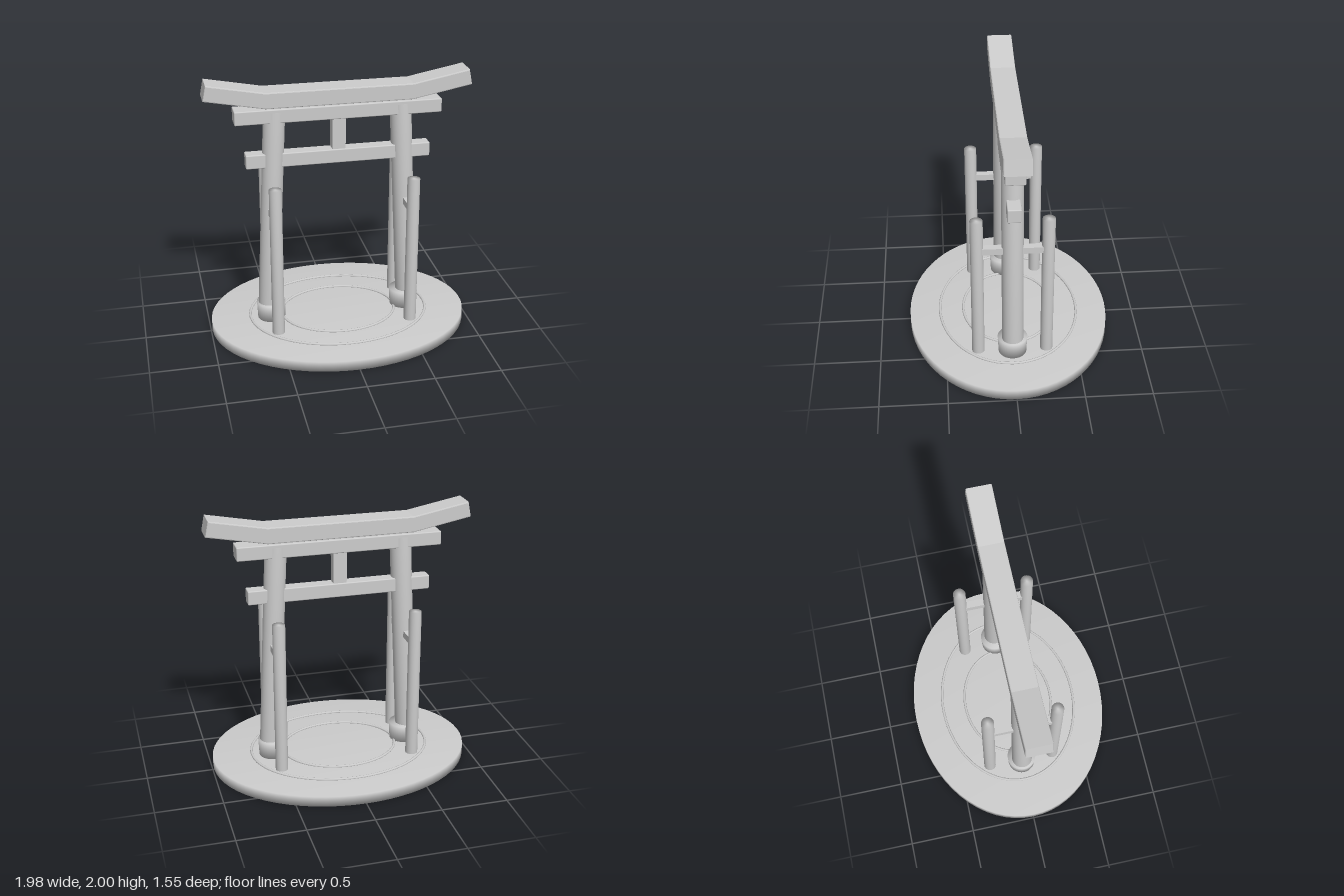
import * as THREE from 'three';
import { RoundedBoxGeometry } from 'three/addons/geometries/RoundedBoxGeometry.js';

const stone = new THREE.MeshStandardMaterial({ color: 0xcccccc });
stone.name = 'pale grey';

export function createModel() {
  const group = new THREE.Group();
  group.name = 'shrineGate';

  const add = (name, geometry, x = 0, y = 0, z = 0) => {
    const mesh = new THREE.Mesh(geometry, stone);
    mesh.name = name;
    mesh.position.set(x, y, z);
    group.add(mesh);
    return mesh;
  };
  // Solid of revolution with softly shaded rims
  const turned = (rBottom, rTop, height, sides) => new THREE.LatheGeometry([
    new THREE.Vector2(0, 0), new THREE.Vector2(rBottom, 0),
    new THREE.Vector2(rTop, height), new THREE.Vector2(0, height),
  ], sides);
  // Beam with slightly eased edges
  const beam = (w, h, d) => new RoundedBoxGeometry(w, h, d, 2, 0.008);

  // Oval base with two raised oval rings
  add('base', turned(1, 1, 0.08, 64)).scale.set(0.99, 1, 0.775);
  for (const [name, rx, rz] of [['outerRing', 0.69, 0.54], ['innerRing', 0.442, 0.355]]) {
    const points = Array.from({ length: 32 }, (_, i) => {
      const a = (i / 32) * Math.PI * 2;
      return new THREE.Vector3(Math.cos(a) * rx, 0, Math.sin(a) * rz);
    });
    const path = new THREE.CatmullRomCurve3(points, true);
    add(name, new THREE.TubeGeometry(path, 64, 0.01, 8, true), 0, 0.084, 0);
  }

  for (const [side, s] of [['left', 1], ['right', -1]]) {
    // Leaning main pillar in its round foot
    const foot = new THREE.Vector3(s * 0.551, 0.08, 0);
    const lean = new THREE.Vector3(s * 0.468, 1.76, 0).sub(foot);
    const pillar = add(side + 'Pillar', turned(0.08, 0.08, lean.length(), 32), foot.x, foot.y, foot.z);
    pillar.quaternion.setFromUnitVectors(new THREE.Vector3(0, 1, 0), lean.clone().normalize());
    add(side + 'Foot', turned(0.105, 0.112, 0.135, 32), s * 0.527, 0.078, 0);

    // Support posts in front and behind, tied to the pillar
    for (const [end, t] of [['Front', 1], ['Back', -1]]) {
      add(side + end + 'Post', turned(0.047, 0.047, 1.17, 24), s * 0.513, 0.08, t * 0.258);
    }
    add(side + 'TieBar', new THREE.BoxGeometry(0.055, 0.05, 0.46), s * 0.513, 0.997, 0);
  }

  // Straight cross beams and the centre strut
  add('lowerBeam', beam(1.38, 0.106, 0.1), 0, 1.388, 0);
  add('upperBeam', beam(1.53, 0.104, 0.142), 0, 1.733, 0);
  add('centreStrut', new THREE.BoxGeometry(0.1, 0.24, 0.08), 0, 1.553, 0);

  // Top beam with upturned ends
  const half = [[0.54, 1.8], [0.983, 1.885], [0.96, 2.0], [0.54, 1.92]];
  const outline = [...half, ...half.map(([x, y]) => [-x, y]).reverse()];
  const shape = new THREE.Shape(outline.map(([x, y]) => new THREE.Vector2(x, y)));
  const bevel = 0.008;
  const topBeam = new THREE.ExtrudeGeometry(shape, {
    depth: 0.19 - 2 * bevel, bevelEnabled: true, bevelSegments: 2,
    bevelSize: bevel, bevelThickness: bevel, bevelOffset: -bevel,
  });
  add('topBeam', topBeam, 0, 0, -0.095 + bevel);

  return group;
}
